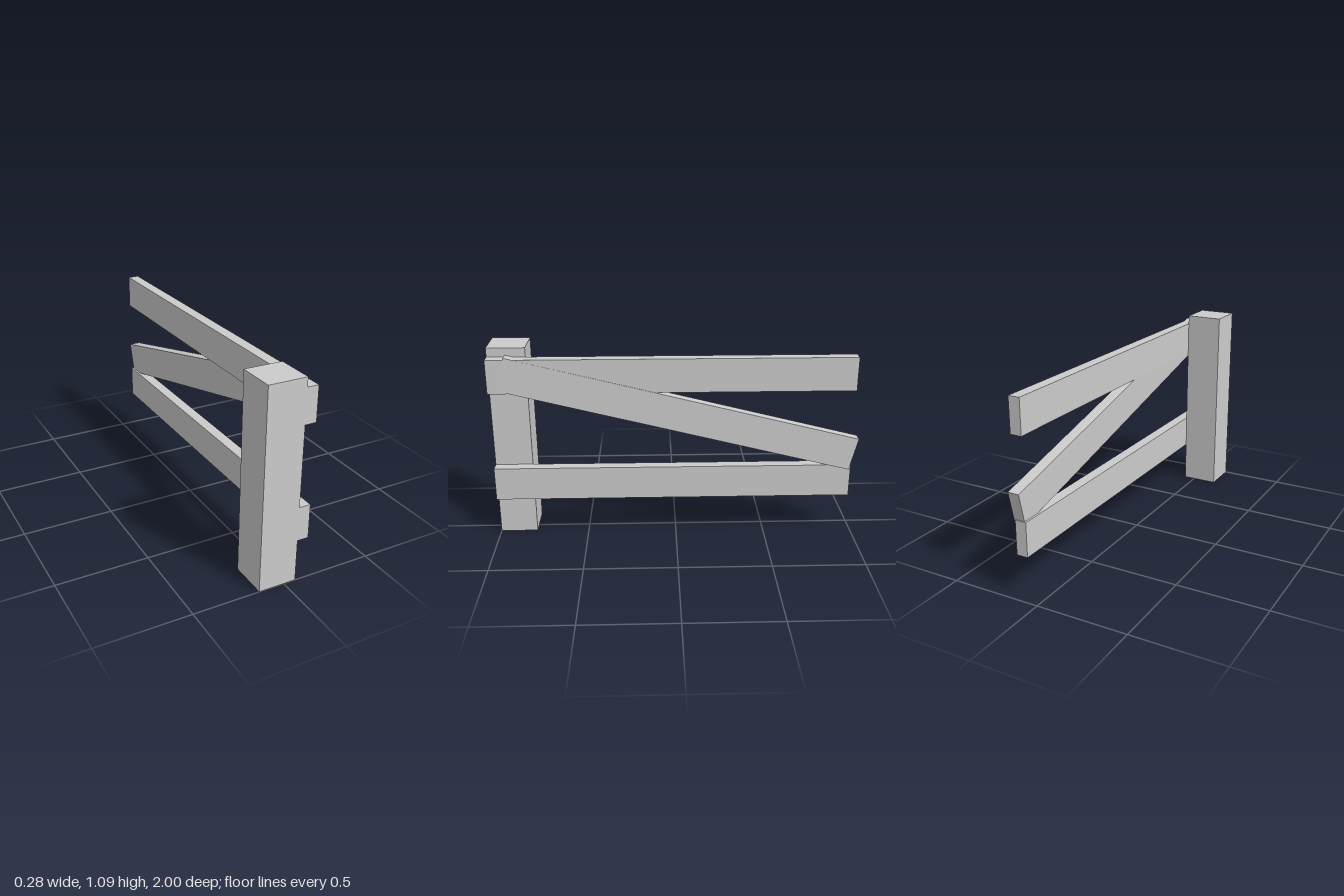
import * as THREE from 'three';

export function createModel() {
  const group = new THREE.Group();
  const material = new THREE.MeshStandardMaterial({ color: 0xcccccc, flatShading: true });

  const beam = (name, size, position) => {
    const mesh = new THREE.Mesh(new THREE.BoxGeometry(...size), material);
    mesh.name = name;
    mesh.position.set(...position);
    group.add(mesh);
    return mesh;
  };

  // Square upright post
  beam('post', [0.206, 1.085, 0.206], [-0.037, 0.5425, 0.897]);

  // Two horizontal rails fixed to the side of the post
  beam('lowerRail', [0.062, 0.186, 1.97], [0.096, 0.323, 0.015]);
  beam('upperRail', [0.062, 0.186, 1.97], [0.096, 0.942, 0.015]);

  // Slipped rail, sloping down to the back and leaning slightly outwards
  const slipped = beam('slippedRail', [0.062, 0.186, 1.963], [0.102, 0.7185, -0.0275]);
  slipped.rotation.set(THREE.MathUtils.degToRad(-14), 0, THREE.MathUtils.degToRad(1), 'ZXY');

  return group;
}
